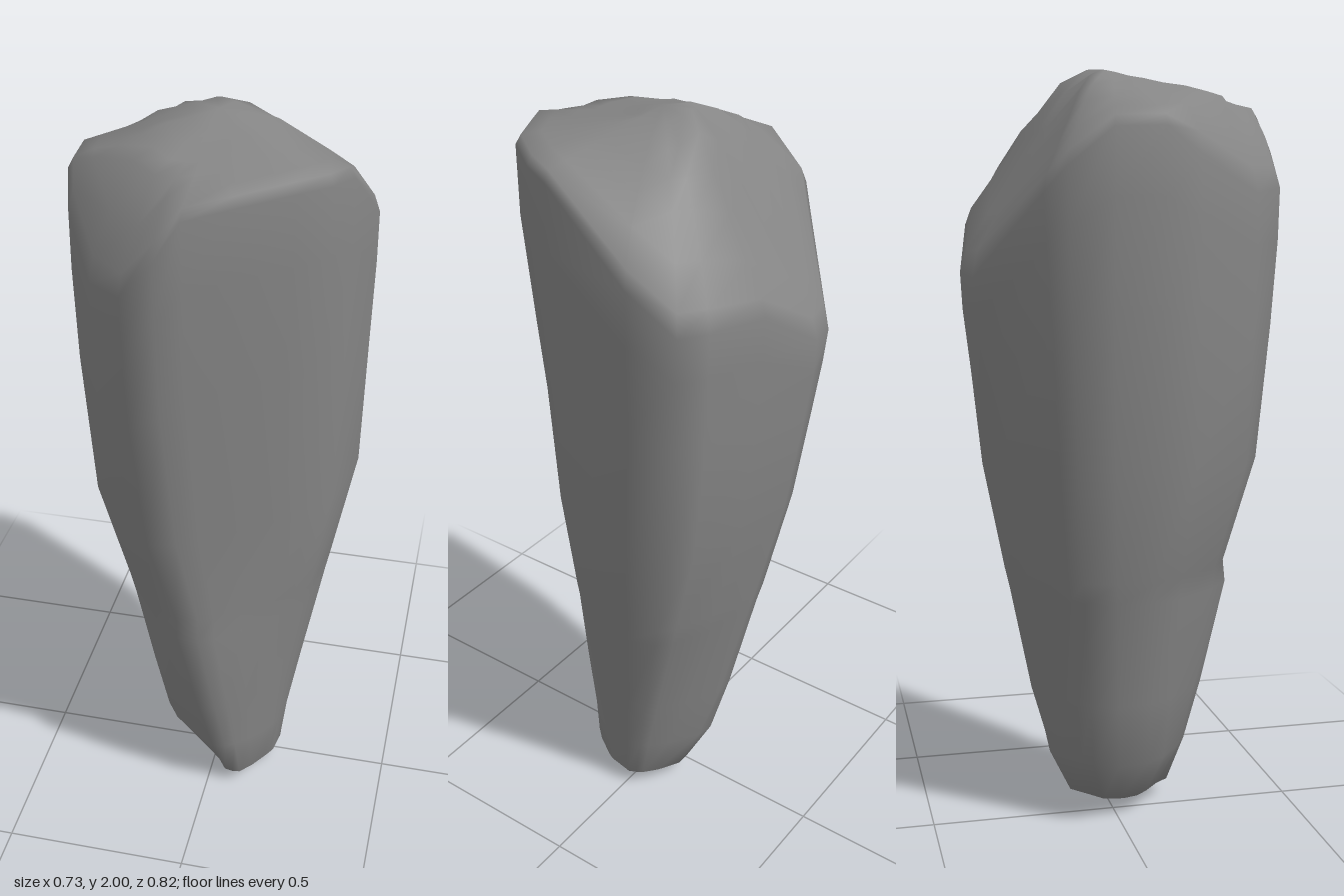
import * as THREE from 'three';

// Widest plan outline, x and z, running back, left, front, right
const OUTLINE = [
  [-0.06, -0.415], [0.12, -0.372], [0.28, -0.33], [0.335, -0.28], [0.365, -0.16], [0.335, 0.09], [0.3, 0.17],
  [0.23, 0.265], [0.1, 0.335], [0.0, 0.388], [-0.06, 0.412], [-0.14, 0.415], [-0.24, 0.33], [-0.34, 0.15],
  [-0.36, 0.05], [-0.37, -0.08], [-0.35, -0.19], [-0.3, -0.24], [-0.15, -0.405],
];

// Reach by height: y, then eight directions turning from +x through +z
const LEVELS = [
  [0, 0.16, 0.12, 0.07, -0.02, -0.05, -0.08, -0.01, 0.09],
  [0.05, 0.185, 0.175, 0.18, 0.07, 0.06, 0.06, 0.11, 0.15],
  [0.18, 0.2, 0.19, 0.2, 0.15, 0.16, 0.145, 0.16, 0.175],
  [0.36, 0.235, 0.21, 0.24, 0.2, 0.2, 0.175, 0.22, 0.22],
  [0.65, 0.29, 0.235, 0.3, 0.26, 0.255, 0.23, 0.285, 0.3],
  [0.71, 0.305, 0.242, 0.28, 0.275, 0.267, 0.245, 0.3, 0.315],
  [1.0, 0.368, 0.268, 0.345, 0.372, 0.32, 0.295, 0.365, 0.392],
  [1.4, 0.374, 0.305, 0.392, 0.39, 0.352, 0.35, 0.412, 0.415],
  [1.65, 0.37, 0.335, 0.418, 0.39, 0.365, 0.388, 0.42, 0.43],
  [1.8, 0.36, 0.34, 0.418, 0.38, 0.372, 0.39, 0.42, 0.43],
];

const DIRECTIONS = Array.from({ length: 8 }, (_, k) => [Math.cos(k * Math.PI / 4), Math.sin(k * Math.PI / 4)]);
const OUTLINE_REACH = DIRECTIONS.map(([dx, dz]) => Math.max(...OUTLINE.map(([x, z]) => x * dx + z * dz)));

// Reach interpolated at any height
function reachAt(y) {
  for (let i = 1; i < LEVELS.length; i++) {
    const a = LEVELS[i - 1], b = LEVELS[i];
    if (y <= b[0]) return a.map((v, k) => THREE.MathUtils.lerp(v, b[k], (y - a[0]) / (b[0] - a[0]))).slice(1);
  }
  return LEVELS[LEVELS.length - 1].slice(1);
}

// An outline corner drawn in or out to the reach at its height
function wallPoint(ox, oz, y) {
  const t = Math.max(0, 1 - y / 1.2);
  const ax = 0.1 * t, az = 0.04 * t;
  const reach = reachAt(y);
  const scale = (k) => (reach[k] - ax * DIRECTIONS[k][0] - az * DIRECTIONS[k][1]) / OUTLINE_REACH[k];
  const turn = (Math.atan2(oz, ox) / (Math.PI / 4) + 8) % 8;
  const k = Math.floor(turn);
  const s = THREE.MathUtils.lerp(scale(k), scale((k + 1) % 8), turn - k);
  return [ax + ox * s, y, az + oz * s];
}

// Sloping planes that cut the top
function roof(x, z) {
  return Math.min(
    2.0,
    1.99 - 0.2 * z,
    2.0 - 0.25 * x,
    1.99 + 0.45 * (x + 0.08),
    1.98 + 0.3 * x + 1.52 * (z + 0.12), // broad back chamfer
    1.98 - 0.52 * (x - z - 0.156),      // back corner, upper
    1.84 - 1.06 * (x - z - 0.424),      // back corner, lower
    1.93 - 1.1 * (z - x - 0.37),        // front corner
  );
}

function rockGeometry() {
  const n = OUTLINE.length;
  const pos = [], index = [];

  // Walls: above y = 1 the rings bend to meet the sloping shoulder
  let rim;
  for (const [level] of LEVELS) {
    rim = OUTLINE.map(([ox, oz]) => {
      const shoulder = roof(ox, oz) - 0.02;
      return wallPoint(ox, oz, level <= 1 ? level : 1 + (level - 1) * (shoulder - 1) / 0.8);
    });
    pos.push(...rim.flat());
  }
  // Top: shrinking rings laid on the roof planes
  const caps = [0.96, 0.82, 0.65, 0.5, 0.35, 0.18];
  for (const s of caps) {
    for (const [x, , z] of rim) pos.push(x * s, roof(x * s, z * s), z * s);
  }

  const rings = LEVELS.length + caps.length;
  for (let r = 0; r < rings - 1; r++) {
    for (let i = 0; i < n; i++) {
      const a = r * n + i, b = r * n + (i + 1) % n;
      index.push(a, a + n, b, b, a + n, b + n);
    }
  }
  // Close the foot and the crown
  const foot = rings * n, crown = foot + 1, last = (rings - 1) * n;
  pos.push(0.11, 0, 0.04, 0, 2, 0);
  for (let i = 0; i < n; i++) {
    const j = (i + 1) % n;
    index.push(foot, i, j, crown, last + j, last + i);
  }

  const geo = new THREE.BufferGeometry();
  geo.setAttribute('position', new THREE.Float32BufferAttribute(pos, 3));
  geo.setIndex(index);
  geo.computeVertexNormals();
  return geo;
}

export function createModel() {
  const group = new THREE.Group();
  group.name = 'standingStone';
  const rock = new THREE.Mesh(rockGeometry(), new THREE.MeshStandardMaterial({ color: 0x868686 }));
  rock.name = 'rock';
  group.add(rock);
  return group;
}
